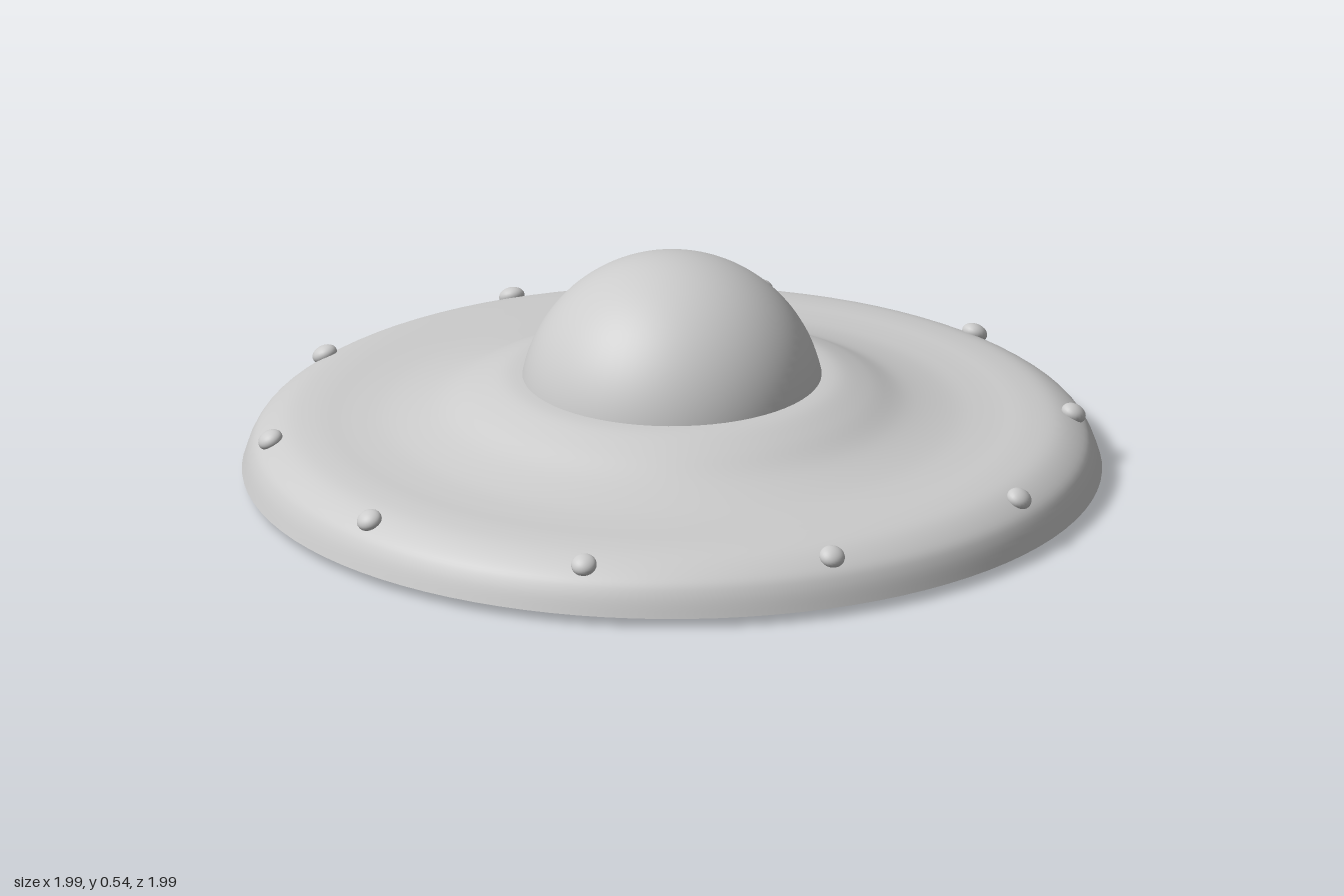
import * as THREE from 'three';

const grey = new THREE.MeshStandardMaterial({ color: 0xcccccc });

function lathe(name, points) {
  const mesh = new THREE.Mesh(new THREE.LatheGeometry(points, 96), grey);
  mesh.name = name;
  return mesh;
}

export function createModel() {
  const model = new THREE.Group();
  model.name = 'flyingSaucer';

  // Upper hull: smooth curve from the rim up to the dome seat
  const profile = [
    [0.997, 0.022], [0.98, 0.07], [0.955, 0.104], [0.9, 0.135], [0.83, 0.147], [0.74, 0.15],
    [0.65, 0.159], [0.545, 0.186], [0.46, 0.226], [0.39, 0.251], [0.33, 0.256],
  ].map(([r, y]) => new THREE.Vector2(r, y));
  model.add(lathe('upperHull', new THREE.SplineCurve(profile).getPoints(50)));

  // Shallow underside
  const under = [[0, 0], [0.35, 0], [0.62, 0.002], [0.8, 0.012], [0.9, 0.019], [0.997, 0.022]]
    .map(([r, y]) => new THREE.Vector2(r, y));
  model.add(lathe('underside', under));

  // Cockpit dome, a spherical cap sunk slightly into the hull
  const dome = new THREE.Mesh(
    new THREE.SphereGeometry(0.354, 64, 32, 0, Math.PI * 2, 0, Math.PI / 2), grey);
  dome.name = 'dome';
  dome.position.y = 0.186;
  model.add(dome);

  // Ten flattened lamps around the rim, tilted to follow the hull
  const lampGeometry = new THREE.SphereGeometry(0.03, 24, 16);
  lampGeometry.scale(1, 0.7, 1);
  for (let i = 0; i < 10; i++) {
    const mount = new THREE.Group();
    mount.name = 'rimLamp' + (i + 1);
    mount.rotation.y = (i * Math.PI) / 5;
    const lamp = new THREE.Mesh(lampGeometry, grey);
    lamp.name = 'lamp';
    lamp.position.set(0, 0.125, 0.935);
    lamp.rotation.x = 0.5;
    mount.add(lamp);
    model.add(mount);
  }
  return model;
}
